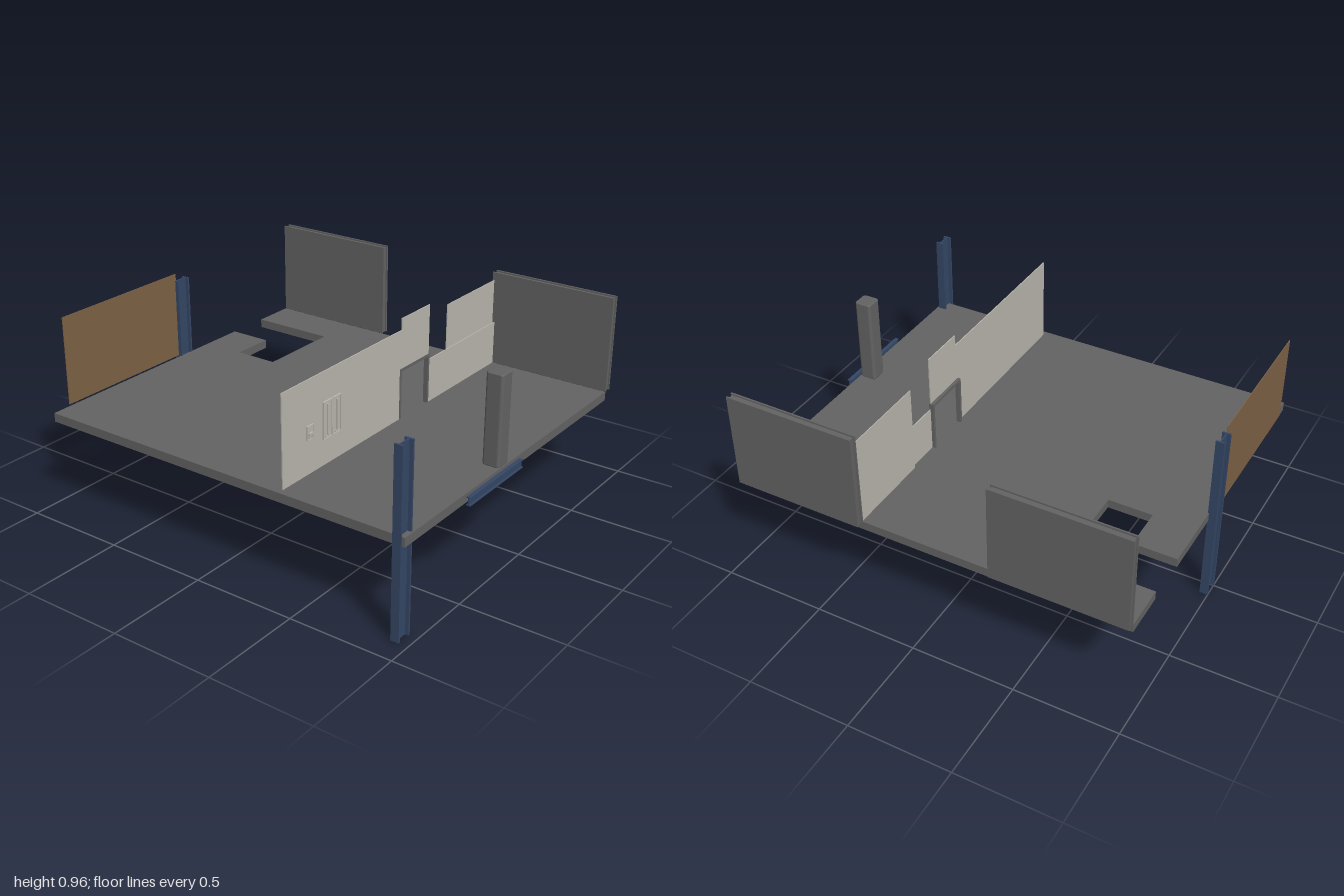
import * as THREE from 'three';

const mat = (name, color) => {
  const m = new THREE.MeshStandardMaterial({ color });
  m.name = name;
  return m;
};

export function createModel() {
  const model = new THREE.Group();
  const concrete = mat('concrete grey', 0x636363);
  const steel = mat('navy steel', 0x354766);
  const plaster = mat('pale plaster', 0xb8b6ac);
  const timber = mat('brown timber', 0x7d6245);

  const add = (name, geometry, material, parent = model) => {
    const mesh = new THREE.Mesh(geometry, material);
    mesh.name = name;
    parent.add(mesh);
    return mesh;
  };
  // Box given by its minimum and maximum corners
  const box = (name, x0, x1, y0, y1, z0, z1, material, parent) => {
    const mesh = add(name, new THREE.BoxGeometry(x1 - x0, y1 - y0, z1 - z0), material, parent);
    mesh.position.set((x0 + x1) / 2, (y0 + y1) / 2, (z0 + z1) / 2);
    return mesh;
  };
  const extrude = (points, depth) => new THREE.ExtrudeGeometry(
    new THREE.Shape(points.map(([x, y]) => new THREE.Vector2(x, y))),
    { depth, bevelEnabled: false });
  const group = (name) => {
    const g = new THREE.Group();
    g.name = name;
    model.add(g);
    return g;
  };
  // H-shaped section: web along x, flanges at both ends
  const hSection = (w, d, flange, web, length) => {
    const a = w / 2, b = d / 2, i = a - flange, t = web / 2;
    return extrude([[-a, -b], [-i, -b], [-i, -t], [i, -t], [i, -b], [a, -b],
      [a, b], [i, b], [i, t], [-i, t], [-i, b], [-a, b]], length);
  };

  // Floor slab with stepped stair opening at the back edge
  const slab = add('floorSlab', extrude([[-0.87, -0.965], [0.845, -0.965], [0.845, 0.965],
    [0.63, 0.965], [0.63, 0.54], [0.2, 0.54], [0.2, 0.755], [0.41, 0.755],
    [0.41, 0.965], [-0.87, 0.965]], 0.043), concrete);
  slab.rotation.x = -Math.PI / 2;
  slab.position.y = 0.432;

  // Steel columns and the edge beam
  for (const [name, x, z] of [['frontColumn', -0.847, 0.937], ['backColumn', 0.03, -0.98]]) {
    const column = add(name, hSection(0.08, 0.04, 0.009, 0.007, 0.87), steel);
    column.rotation.x = -Math.PI / 2;
    column.position.set(x, 0, z);
  }
  const beam = add('edgeBeam', hSection(0.04, 0.02, 0.005, 0.005, 0.433), steel);
  beam.rotation.set(0, Math.PI / 2, Math.PI / 2, 'YXZ');
  beam.position.set(-0.445, 0.455, 0.99);

  // Inner wall outline, stepping around the doorway
  const wall = add('innerWall', extrude([[-0.84, 0.475], [0.015, 0.475], [0.015, 0.715],
    [0.245, 0.715], [0.245, 0.475], [0.845, 0.475], [0.845, 0.69], [0.245, 0.69],
    [0.245, 0.96], [0.02, 0.96], [0.02, 0.905], [-0.84, 0.905]].filter((p, i) => i < 4)
    .concat([[0.245, 0.96], [0.02, 0.96], [0.02, 0.905], [-0.84, 0.905]]), 0.005), plaster);
  wall.position.z = 0.342;
  box('lowWall', 0.245, 0.845, 0.475, 0.69, 0.342, 0.347, plaster);
  box('tallWallPanel', 0.418, 0.845, 0.475, 0.905, 0.331, 0.335, plaster);

  // Door frame
  const frame = add('doorFrame', extrude([[0.008, 0.475], [0.022, 0.475], [0.022, 0.706],
    [0.238, 0.706], [0.238, 0.475], [0.25, 0.475], [0.25, 0.72], [0.008, 0.72]], 0.022), concrete);
  frame.position.z = 0.327;

  // Side panels: two skins around a slightly recessed core
  for (const [name, z0, z1] of [['frontSidePanel', 0.325, 0.965], ['backSidePanel', -0.965, -0.32]]) {
    const panel = group(name);
    box('innerSkin', 0.846, 0.854, 0.475, 0.945, z0, z1, concrete, panel);
    box('outerSkin', 0.879, 0.887, 0.475, 0.945, z0, z1, concrete, panel);
    box('core', 0.854, 0.879, 0.475, 0.937, z0 + 0.007, z1 - 0.007, concrete, panel);
  }

  // Timber panel behind the slab
  box('backTimberPanel', -0.76, -0.005, 0.475, 0.905, -0.983, -0.979, timber);

  // Pillar with rounded vertical edges
  const r = 0.014, h = 0.042;
  const round = new THREE.Shape();
  round.absarc(h - r, h - r, r, 0, Math.PI / 2);
  round.absarc(r - h, h - r, r, Math.PI / 2, Math.PI);
  round.absarc(r - h, r - h, r, Math.PI, Math.PI * 1.5);
  round.absarc(h - r, r - h, r, Math.PI * 1.5, Math.PI * 2);
  const pillar = add('pillar', new THREE.ExtrudeGeometry(round, {
    depth: 0.417, bevelThickness: 0.005, bevelSize: 0.005, bevelOffset: -0.005,
    bevelSegments: 2, curveSegments: 4 }), concrete);
  pillar.rotation.x = -Math.PI / 2;
  pillar.position.set(-0.115, 0.48, 0.92);

  // Rectangular rim made of four strips
  const rim = (parent, x0, x1, y0, y1, t, z0, z1) => {
    for (const x of [x0, x1 - t]) box('rimSide', x, x + t, y0, y1, z0, z1, plaster, parent);
    for (const y of [y0, y1 - t]) box('rimEdge', x0 + t, x1 - t, y, y + t, z0, z1, plaster, parent);
  };

  // Two-door wall cabinet with upright handles
  const cabinet = group('wallCabinet');
  for (const [x0, x1, rod] of [[-0.57, -0.509, -0.54], [-0.507, -0.446, -0.474]]) {
    box('door', x0, x1, 0.597, 0.77, 0.347, 0.351, plaster, cabinet);
    rim(cabinet, x0, x1, 0.597, 0.77, 0.004, 0.351, 0.356);
    box('handle', rod - 0.004, rod + 0.004, 0.61, 0.755, 0.351, 0.358, plaster, cabinet);
    box('handleFoot', rod - 0.014, rod + 0.014, 0.606, 0.612, 0.351, 0.357, plaster, cabinet);
  }

  // Small wall box with a bracket
  const wallBox = group('wallBox');
  box('backPlate', -0.682, -0.637, 0.635, 0.7, 0.347, 0.351, plaster, wallBox);
  rim(wallBox, -0.682, -0.637, 0.635, 0.7, 0.003, 0.351, 0.354);
  box('bracketBar', -0.672, -0.647, 0.658, 0.668, 0.351, 0.359, plaster, wallBox);
  for (const x of [-0.672, -0.651]) {
    box('bracketLeg', x, x + 0.004, 0.643, 0.658, 0.351, 0.357, plaster, wallBox);
  }

  return model;
}
